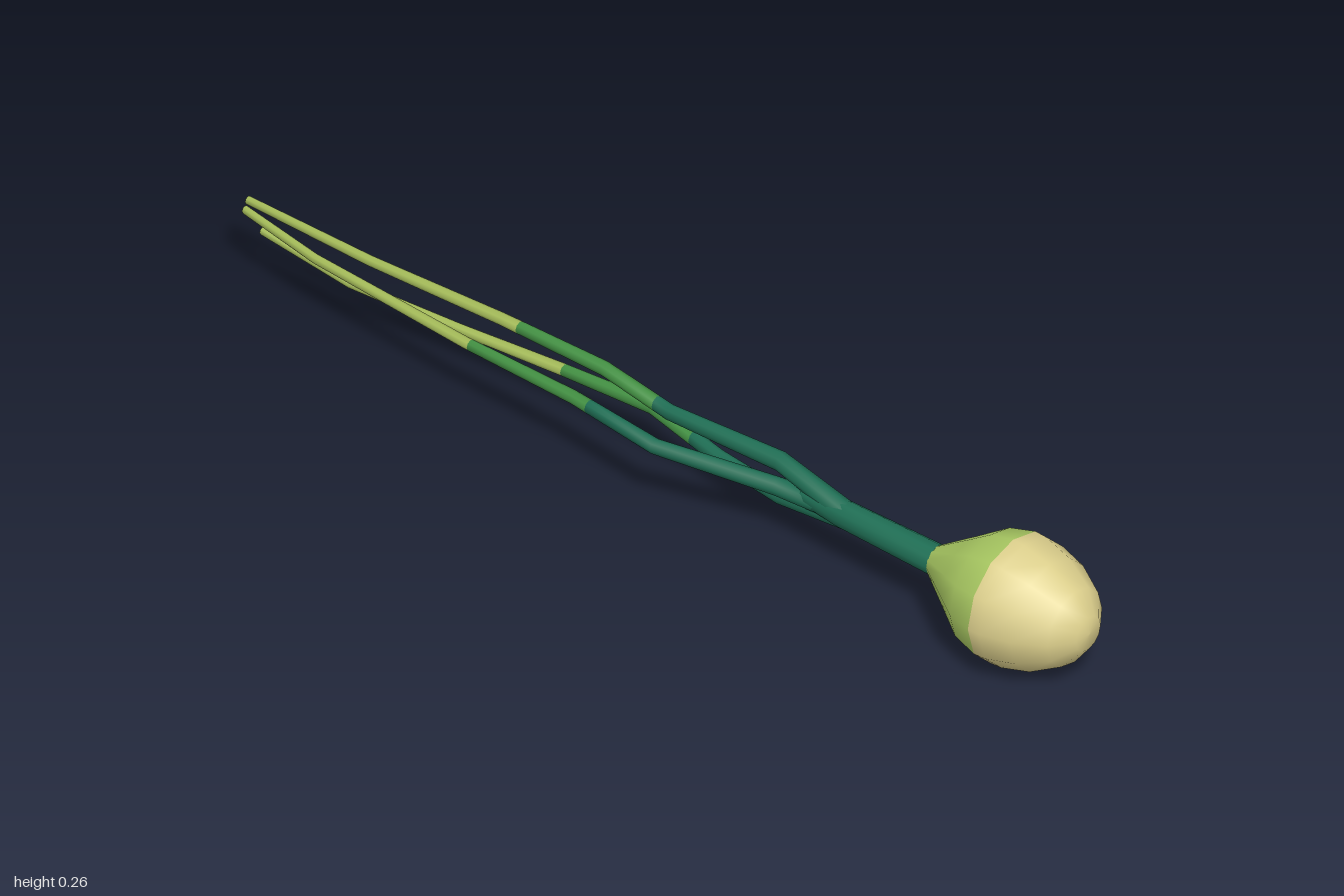
import * as THREE from 'three';

const paint = (name, color) => {
  const m = new THREE.MeshStandardMaterial({ color });
  m.name = name;
  return m;
};

// Tube through stations [x, y, z, radius] that run towards -z
function loft(stations, sides) {
  const pos = [], index = [];
  stations.forEach(([x, y, z, r], i) => {
    for (let k = 0; k < sides; k++) {
      const t = (k / sides) * Math.PI * 2;
      pos.push(x + r * Math.cos(t), y + r * Math.sin(t), z);
      if (i === stations.length - 1) continue;
      const a = i * sides + k, b = i * sides + (k + 1) % sides;
      index.push(a, a + sides, b, b, a + sides, b + sides);
    }
  });
  const g = new THREE.BufferGeometry();
  g.setAttribute('position', new THREE.Float32BufferAttribute(pos, 3));
  g.setIndex(index);
  g.computeVertexNormals();
  return g;
}

// Station on a path at a given z
function stationAt(path, z) {
  const i = path.findIndex((p, n) => n > 0 && p[2] <= z);
  const a = path[i - 1], b = path[i], t = (a[2] - z) / (a[2] - b[2]);
  return a.map((v, n) => v + (b[n] - v) * t);
}

export function createModel() {
  const model = new THREE.Group();
  const skin = paint('bulb cream', 0xdccf8c);
  const lime = paint('bulb lime', 0xafd066);
  const dark = paint('stem dark green', 0x1f6f55);
  const mid = paint('leaf green', 0x439143);
  const pale = paint('leaf pale green', 0xa6bd5a);
  const cy = 0.132;

  const add = (parent, name, geometry, material) => {
    const m = new THREE.Mesh(geometry, material);
    m.name = name;
    parent.add(m);
  };

  // Bulb in two colours, turned around the z axis
  const turned = (profile) => {
    const g = new THREE.LatheGeometry(profile.map(([r, z]) => new THREE.Vector2(r, z)), 12);
    return g.rotateX(Math.PI / 2).translate(0, cy, 0);
  };
  add(model, 'bulbNeck', turned([[0.03, 0.64], [0.08, 0.715], [0.114, 0.765], [0.129, 0.82]]), lime);
  add(model, 'bulbBase', turned([[0.129, 0.82], [0.128, 0.845], [0.112, 0.905], [0.078, 0.965], [0.035, 0.997], [0, 1]]), skin);

  // Stem
  add(model, 'stem', loft([[0, cy, 0.66, 0.031], [0, cy + 0.003, 0.42, 0.027], [0, cy + 0.004, 0.33, 0.018]], 10), dark);

  // Leaves: path stations and the two z positions where the colour changes
  const leaves = [
    { name: 'upperLeaf', cuts: [-0.02, -0.34], path: [
      [0, 0.14, 0.43, 0.022], [0.004, 0.18, 0.27, 0.019], [0.003, 0.17, 0.01, 0.015], [0, 0.2, -0.14, 0.014],
      [0, 0.199, -0.38, 0.012], [0.008, 0.178, -0.7, 0.01], [0.025, 0.165, -1, 0.008]] },
    { name: 'rightLeaf', cuts: [-0.12, -0.41], path: [
      [0, 0.135, 0.4, 0.02], [-0.004, 0.128, 0.27, 0.018], [-0.088, 0.163, 0.05, 0.015], [-0.065, 0.163, -0.16, 0.013],
      [-0.055, 0.158, -0.42, 0.011], [-0.026, 0.155, -0.8, 0.009], [0.004, 0.16, -0.99, 0.008]] },
    { name: 'lowerLeaf', cuts: [0.03, -0.28], path: [
      [0, 0.128, 0.43, 0.022], [0.015, 0.092, 0.26, 0.016], [0.035, 0.092, 0.1, 0.015], [0.064, 0.106, -0.08, 0.014],
      [0.054, 0.101, -0.28, 0.012], [0.042, 0.09, -0.52, 0.01], [0.014, 0.1, -0.75, 0.009], [0.006, 0.13, -0.95, 0.008]] },
  ];
  for (const { name, cuts, path } of leaves) {
    const leaf = new THREE.Group();
    leaf.name = name;
    model.add(leaf);
    const tip = path[path.length - 1];
    const ends = [path[0][2], ...cuts, tip[2]];
    [['Base', dark], ['Middle', mid], ['Tip', pale]].forEach(([part, material], i) => {
      const inner = path.filter((p) => p[2] < ends[i] && p[2] > ends[i + 1]);
      const stations = [stationAt(path, ends[i]), ...inner, stationAt(path, ends[i + 1])];
      add(leaf, name + part, loft(stations, 8), material);
    });
    add(leaf, name + 'End', loft([tip, [tip[0], tip[1], tip[2], 0]], 8), pale);
  }
  return model;
}
